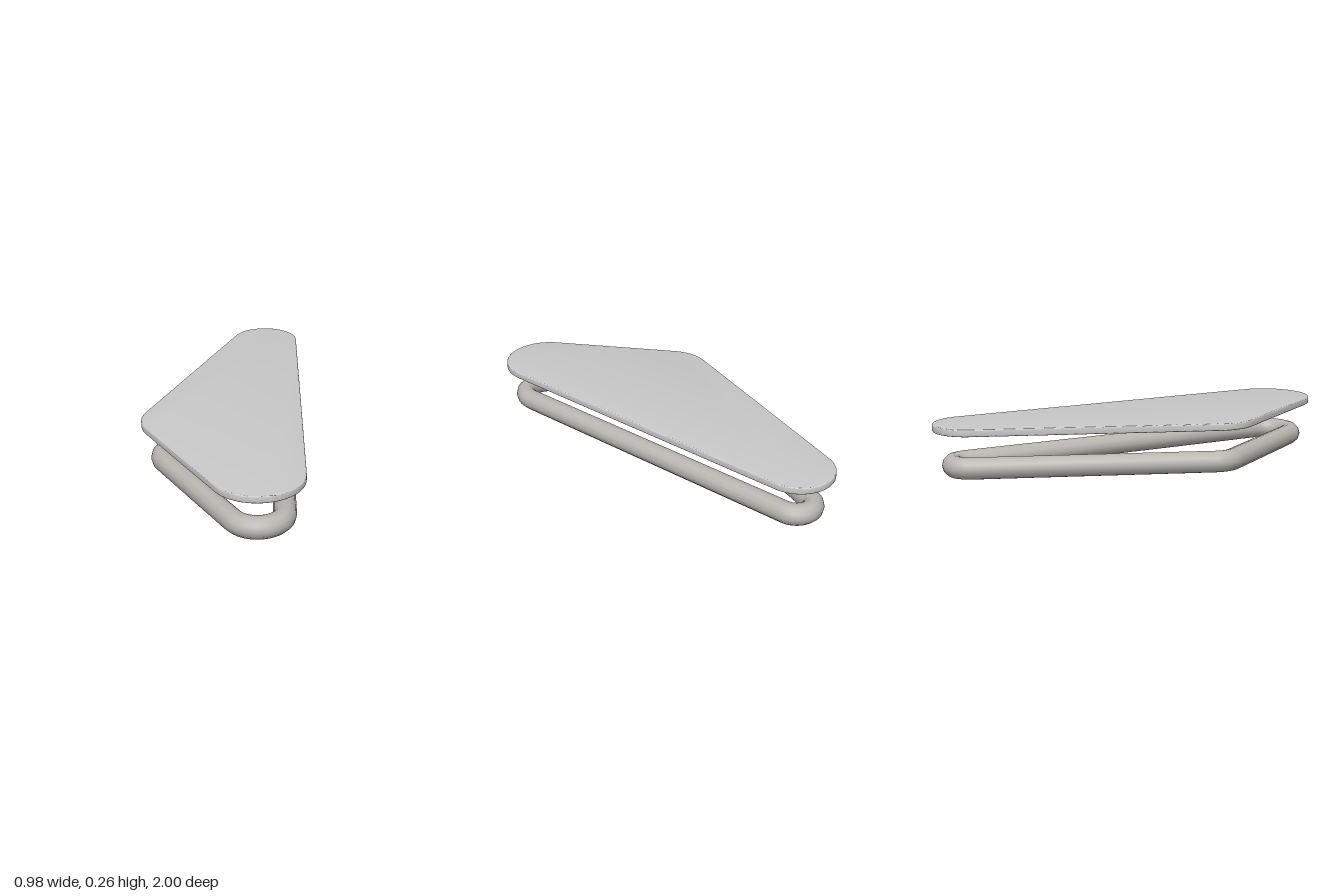
import * as THREE from 'three';
import { toCreasedNormals } from 'three/addons/utils/BufferGeometryUtils.js';

// corner circles of the rounded three-sided plan: x, z, radius
const CORNERS = [
  [-0.31, -0.82, 0.18],
  [0.27, 0.776, 0.22],
  [-0.27, 0.36, 0.22],
];

// rounded outline in the x-z plane, moved inwards by inset
function outline(inset) {
  // direction of the outward normal on the straight run leaving corner i
  const normalAngle = (i) => {
    const [ax, az, ar] = CORNERS[i % 3];
    const [bx, bz, br] = CORNERS[(i + 1) % 3];
    const dx = bx - ax, dz = bz - az;
    return Math.atan2(dz, dx) - Math.acos((ar - br) / Math.hypot(dx, dz));
  };
  const shape = new THREE.Shape();
  CORNERS.forEach(([x, z, r], i) => {
    shape.absarc(x, z, r - inset, normalAngle(i + 2), normalAngle(i), false);
  });
  shape.closePath();
  return shape;
}

// the inset outline as a closed curve at a given height
class RingCurve extends THREE.Curve {
  constructor(inset, y) {
    super();
    this.shape = outline(inset);
    this.y = y;
    this.arcLengthDivisions = 800;
  }
  getPoint(t, target = new THREE.Vector3()) {
    const p = this.shape.getPoint(t);
    return target.set(p.x, this.y, p.y);
  }
}

export function createModel() {
  const group = new THREE.Group();
  const slabGrey = new THREE.MeshStandardMaterial({ color: 0xc8c8c8 });
  slabGrey.name = 'light grey';
  const tubeGrey = new THREE.MeshStandardMaterial({ color: 0xb8b6af });
  tubeGrey.name = 'warm grey';

  // thin table top with softened rims
  const bevel = 0.005, bottom = 0.225, top = 0.26;
  const slab = new THREE.ExtrudeGeometry(outline(bevel), {
    depth: top - bottom - 2 * bevel,
    bevelThickness: bevel,
    bevelSize: bevel,
    bevelSegments: 3,
    curveSegments: 24,
  });
  slab.rotateX(Math.PI / 2);
  slab.translate(0, top - bevel, 0);
  const tableTop = new THREE.Mesh(toCreasedNormals(slab, 0.6), slabGrey);
  tableTop.name = 'tableTop';

  // closed tubular base ring following the top's outline
  const radius = 0.054;
  const ring = new THREE.TubeGeometry(new RingCurve(0.095, radius), 240, radius, 12, true);
  const baseRing = new THREE.Mesh(ring, tubeGrey);
  baseRing.name = 'baseRing';

  group.add(tableTop, baseRing);
  return group;
}
